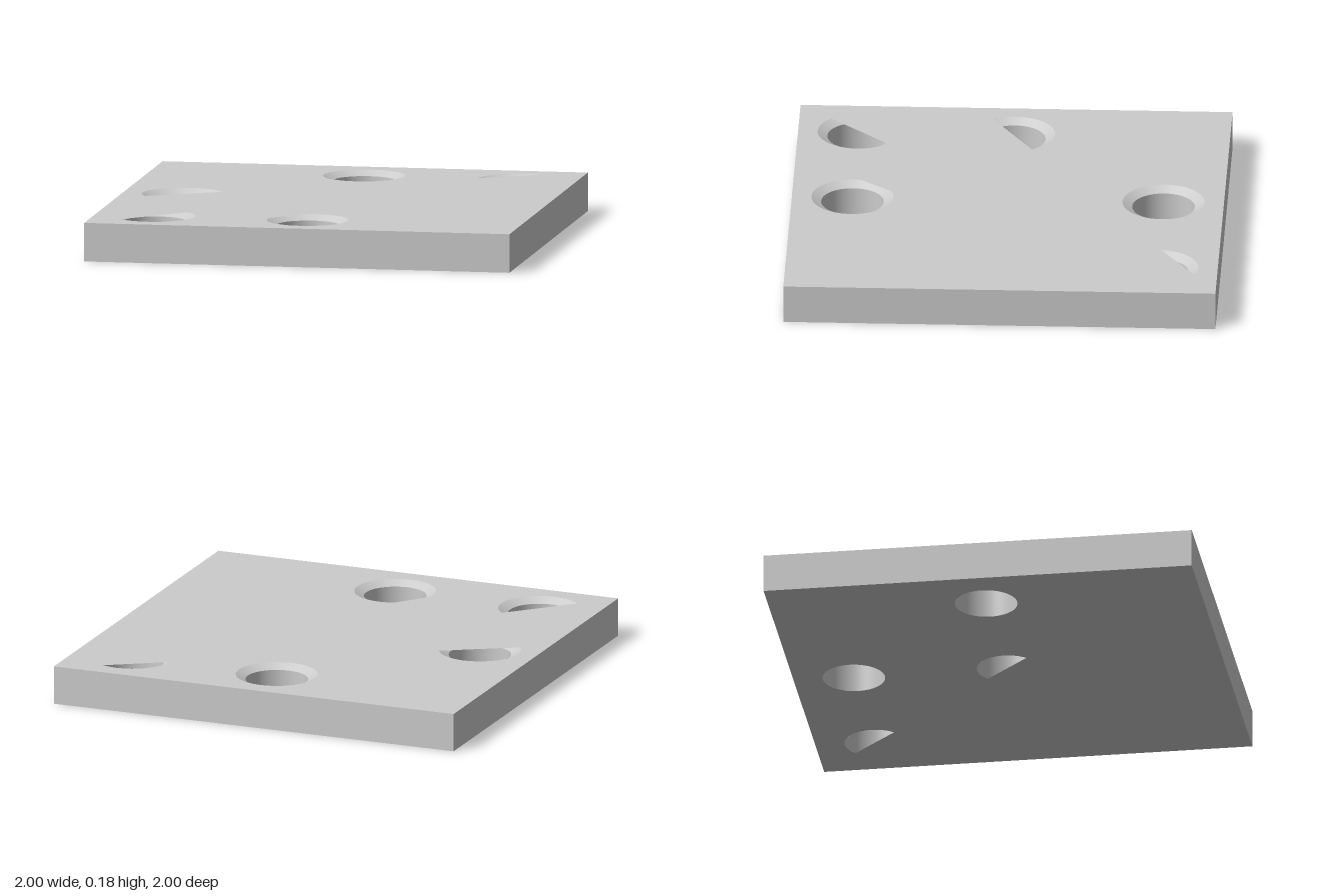
import * as THREE from 'three';
import { mergeGeometries } from 'three/addons/utils/BufferGeometryUtils.js';

const THICK = 0.18, BORE = 0.145, SINK = 0.19, SINK_DEPTH = 0.024, PITCH = 0.72, SIDES = 48;
const FULL = [0, 360];

// Hole column and row, with the open arc (degrees, from +x towards +z) on each face; null = closed.
const HOLES = [
  { col: 0, row: -1, top: FULL, bottom: FULL },
  { col: 1, row: -1, top: [183, 293], bottom: [136, 312] },
  { col: -1, row: 0, top: [147, 332], bottom: FULL },
  { col: 0, row: 0, top: null, bottom: [136, 312] },
  { col: -1, row: 1, top: [-47, 136], bottom: null },
  { col: 0, row: 1, top: [249, 549], bottom: null },
];

// Square sheet facing up (sign 1) or down (sign -1), pierced by round or chord-cut openings
function sheet(sign, y, key, radius) {
  const shape = new THREE.Shape([[-1, -1], [1, -1], [1, 1], [-1, 1]].map(([x, z]) => new THREE.Vector2(x, z)));
  for (const hole of HOLES) {
    if (!hole[key]) continue;
    const [from, to] = hole[key];
    const steps = Math.ceil((SIDES * (to - from)) / 360);
    const count = to - from === 360 ? steps : steps + 1;
    const points = [];
    for (let i = 0; i < count; i++) {
      const a = THREE.MathUtils.degToRad(from + ((to - from) * i) / steps);
      const x = hole.col * PITCH + radius * Math.cos(a);
      const z = hole.row * PITCH + radius * Math.sin(a);
      points.push(new THREE.Vector2(x, -sign * z));
    }
    shape.holes.push(new THREE.Path(points));
  }
  return new THREE.ShapeGeometry(shape).rotateX((-sign * Math.PI) / 2).translate(0, y, 0);
}

export function createModel() {
  const group = new THREE.Group();
  const material = new THREE.MeshStandardMaterial({ color: 0xcccccc, side: THREE.DoubleSide });

  const add = (name, geometry) => {
    const mesh = new THREE.Mesh(geometry, material);
    mesh.name = name;
    group.add(mesh);
    return mesh;
  };

  // Flat faces of the plate
  add('topFace', sheet(1, THICK, 'top', SINK));
  add('bottomFace', sheet(-1, 0, 'bottom', BORE));

  // Four plate edges
  const edges = [0, 1, 2, 3].map((k) =>
    new THREE.PlaneGeometry(2, THICK).translate(0, THICK / 2, 1).rotateY((k * Math.PI) / 2));
  add('plateEdges', mergeGeometries(edges));

  // Straight bore and shallow conical countersink of every hole
  const boreHeight = THICK - SINK_DEPTH;
  const bore = new THREE.CylinderGeometry(BORE, BORE, boreHeight, SIDES, 1, true).translate(0, boreHeight / 2, 0);
  const sink = new THREE.CylinderGeometry(SINK, BORE, SINK_DEPTH, SIDES, 1, true)
    .translate(0, THICK - SINK_DEPTH / 2, 0);
  for (const { col, row } of HOLES) {
    add('holeBore', bore).position.set(col * PITCH, 0, row * PITCH);
    add('holeCountersink', sink).position.set(col * PITCH, 0, row * PITCH);
  }

  return group;
}
